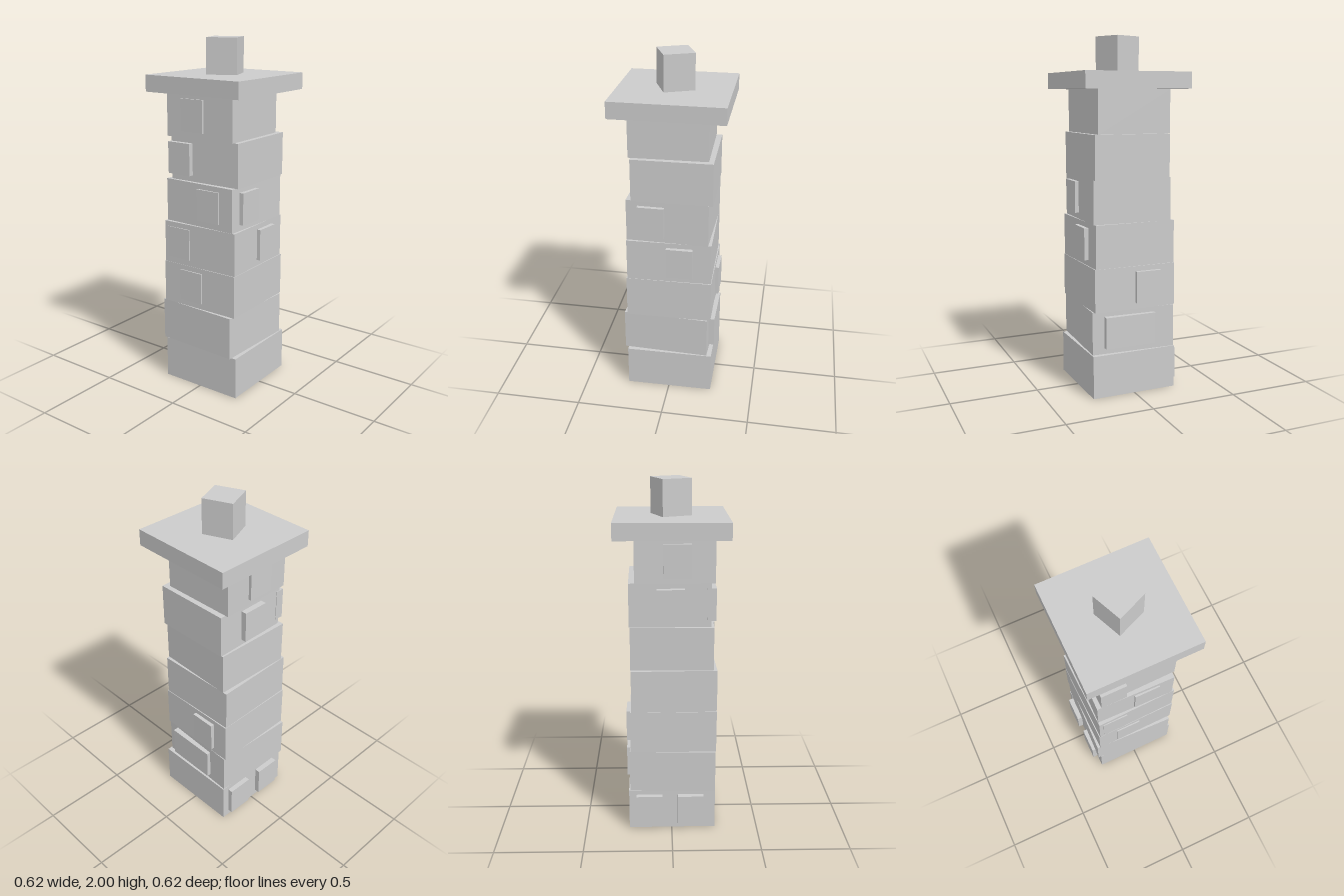
import * as THREE from 'three';

export function createModel() {
  const group = new THREE.Group();
  const material = new THREE.MeshStandardMaterial({ color: 0xcccccc, flatShading: true });

  function box(name, w, h, d, x, y, z, turn = 0) {
    const mesh = new THREE.Mesh(new THREE.BoxGeometry(w, h, d), material);
    mesh.name = name;
    mesh.position.set(x, y, z);
    mesh.rotation.y = turn;
    group.add(mesh);
  }

  // Tapering stack of slightly shifted and twisted blocks: [width, x, z, turn]
  const blockHeight = 1.71 / 7;
  const blocks = [
    [0.5, 0.002, 0, 0.01],
    [0.491, -0.01, 0.013, -0.033],
    [0.488, -0.006, 0.006, 0.015],
    [0.48, -0.006, 0.007, 0.025],
    [0.461, -0.002, 0.006, -0.02],
    [0.45, 0.01, -0.012, 0.015],
    [0.436, -0.011, 0.012, 0.025],
  ];
  blocks.forEach(([w, x, z, turn], i) =>
    box('towerBlock' + (i + 1), w, blockHeight, w, x, (i + 0.5) * blockHeight, z, turn));

  // Raised stones: [side, level, centre along the wall, distance of outer face]
  const stoneSize = 0.15, stoneHeight = 0.18, stoneDepth = 0.05;
  const stones = [
    ['front', 6, -0.05, 0.241], ['front', 5, -0.14, 0.243], ['front', 4, 0.06, 0.248],
    ['front', 3, -0.14, 0.256], ['front', 2, -0.055, 0.258],
    ['left', 4, 0.1, 0.25], ['left', 3, -0.06, 0.256],
    ['back', 2, -0.085, 0.258], ['back', 1, 0.1, 0.26], ['back', 1, -0.05, 0.26],
    ['right', 6, 0.03, 0.247], ['right', 5, -0.005, 0.248],
    ['right', 0, -0.13, 0.279], ['right', 0, 0.11, 0.279],
  ];
  for (const [side, level, along, outer] of stones) {
    const y = (level + 0.5) * blockHeight + 0.003;
    const sign = side === 'front' || side === 'left' ? 1 : -1;
    const out = sign * (outer - stoneDepth / 2);
    if (side === 'front' || side === 'back') box(side + 'Stone', stoneSize, stoneHeight, stoneDepth, along, y, out);
    else box(side + 'Stone', stoneDepth, stoneHeight, stoneSize, out, y, along);
  }

  // Flat cap and twisted chimney
  box('capSlab', 0.62, 0.092, 0.62, 0, 1.756, 0);
  box('chimney', 0.171, 0.2, 0.171, 0, 1.9, 0, 0.4);

  return group;
}
